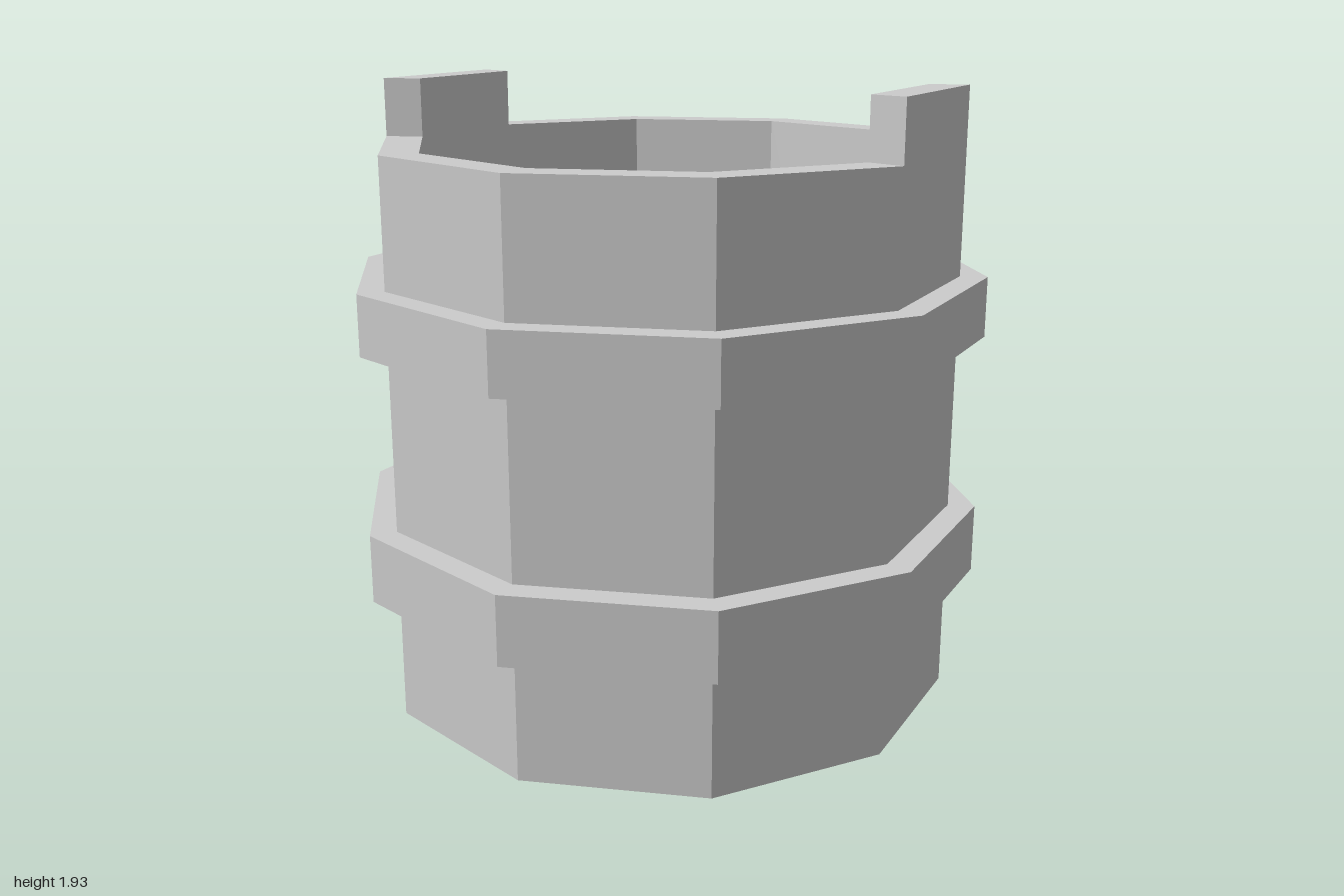
import * as THREE from 'three';

const SIDES = 10;
const TURN = 0.0145; // slight twist of the decagon
const OUTER = 0.916, INNER = 0.795, HOOP = 1.0, RIM = 1.752;

const material = new THREE.MeshStandardMaterial({ color: 0xcccccc, flatShading: true });

// Ten-sided solid of revolution from [radius, height] pairs
function turned(name, profile) {
  const points = profile.map(([r, y]) => new THREE.Vector2(r, y));
  const mesh = new THREE.Mesh(new THREE.LatheGeometry(points, SIDES, TURN), material);
  mesh.name = name;
  return mesh;
}

// Corner k of the decagon, in the shape plane (y is -z)
function corner(r, k) {
  const a = TURN + (k * 2 * Math.PI) / SIDES;
  return new THREE.Vector2(r * Math.sin(a), -r * Math.cos(a));
}

// One wall stave carried up above the rim
function ear(name, k) {
  const shape = new THREE.Shape([
    corner(OUTER, k), corner(OUTER, k + 1), corner(INNER, k + 1), corner(INNER, k),
  ]);
  const geometry = new THREE.ExtrudeGeometry(shape, { depth: 1.935 - RIM, bevelEnabled: false });
  geometry.rotateX(-Math.PI / 2).translate(0, RIM, 0);
  const mesh = new THREE.Mesh(geometry, material);
  mesh.name = name;
  return mesh;
}

export function createModel() {
  const group = new THREE.Group();
  group.name = 'bucket';

  // Hollow body with a closed floor
  group.add(turned('body', [
    [0, 0], [OUTER, 0], [OUTER, RIM], [INNER, RIM], [INNER, 0.12], [0, 0.12],
  ]));

  // Two hoops around the wall
  for (const [name, y0, y1] of [['lowerHoop', 0.395, 0.61], ['upperHoop', 1.168, 1.356]]) {
    group.add(turned(name, [[OUTER, y0], [HOOP, y0], [HOOP, y1], [OUTER, y1]]));
  }

  // Opposite raised ears
  group.add(ear('leftEar', 2), ear('rightEar', 7));
  return group;
}
